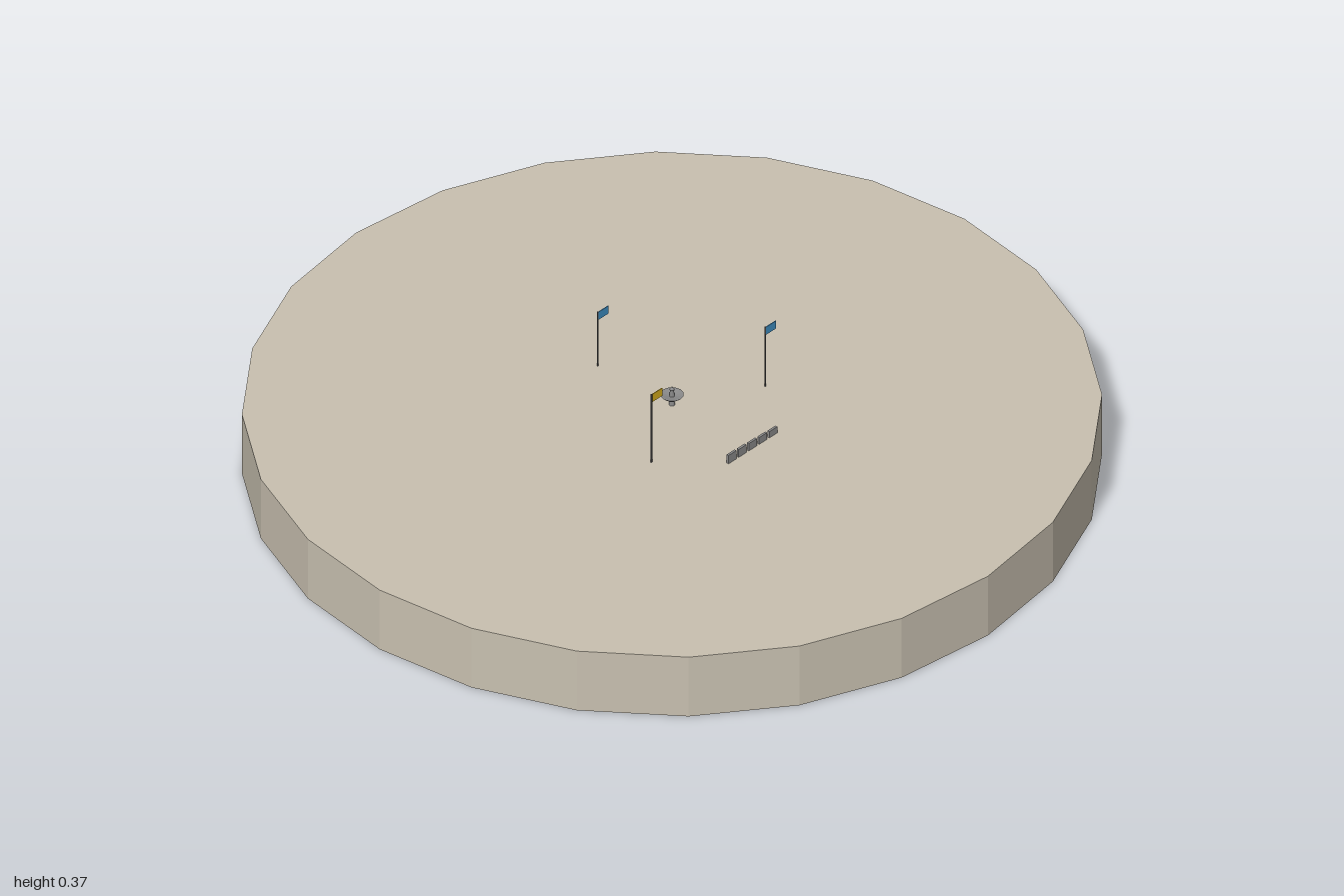
import * as THREE from 'three';

const GROUND = 0.17;

function mat(color, options = {}) {
  return new THREE.MeshStandardMaterial({ color, side: THREE.DoubleSide, ...options });
}

function addMesh(parent, name, geometry, material, x = 0, y = 0, z = 0) {
  const mesh = new THREE.Mesh(geometry, material);
  mesh.name = name;
  mesh.position.set(x, y, z);
  parent.add(mesh);
  return mesh;
}

export function createModel() {
  const model = new THREE.Group();
  model.name = 'plaza';
  const paving = mat(0xc8c0b0, { flatShading: true });
  const stone = mat(0x8a8a8a, { flatShading: true });
  const dark = mat(0x555555);

  // Hollow 24-sided platform, open underneath
  addMesh(model, 'platformWall', new THREE.CylinderGeometry(1, 1, GROUND, 24, 1, true), paving, 0, GROUND / 2, 0);
  const top = addMesh(model, 'platformTop', new THREE.CircleGeometry(1, 24), paving, 0, GROUND, 0);
  top.rotation.set(-Math.PI / 2, 0, Math.PI / 2);
  const lawn = addMesh(model, 'lawnUnderside', new THREE.CircleGeometry(0.998, 24), mat(0x3a4f26), 0, GROUND - 0.003, 0);
  lawn.rotation.set(-Math.PI / 2, 0, Math.PI / 2);

  // Sunken basin below the fountain
  const fountain = new THREE.Group();
  fountain.name = 'fountain';
  model.add(fountain);
  addMesh(fountain, 'basinWall', new THREE.CylinderGeometry(0.11, 0.11, 0.016, 24, 1, true), mat(0xcccccc), 0, 0.157, 0);
  addMesh(fountain, 'basinFloor', new THREE.CylinderGeometry(0.108, 0.108, 0.004, 24), stone, 0, 0.156, 0);
  addMesh(fountain, 'water', new THREE.CylinderGeometry(0.107, 0.107, 0.003, 24), mat(0x4a90b8), 0, 0.161, 0);

  // Stem, dish and spire turned as one profile
  const profile = [
    [0, 0.155], [0.008, 0.155], [0.006, 0.185], [0.018, 0.19], [0.028, 0.199],
    [0.024, 0.199], [0.006, 0.195], [0.005, 0.21], [0.006, 0.214], [0, 0.222],
  ].map(([r, y]) => new THREE.Vector2(r, y));
  addMesh(fountain, 'stemAndDish', new THREE.LatheGeometry(profile, 12), stone);

  // Row of five low blocks in front
  const row = new THREE.Group();
  row.name = 'blockRow';
  model.add(row);
  for (let i = 0; i < 5; i++) {
    const height = 0.036 - i * 0.0015;
    addMesh(row, 'block', new THREE.BoxGeometry(0.027, height, 0.006), stone, (i - 2) * 0.035, 0.158 + height / 2, 0.253);
  }

  // Flags on thin poles: x, z, top height, colour
  const flags = [
    [-0.2, 0.12, 0.365, 0xd9b01c],
    [0.2, 0.11, 0.34, 0x3f8fc4],
    [-0.005, -0.23, 0.325, 0x3f8fc4],
  ];
  for (const [x, z, height, color] of flags) {
    const flag = new THREE.Group();
    flag.name = 'flag';
    flag.position.set(x, 0, z);
    model.add(flag);
    const length = height - GROUND;
    addMesh(flag, 'pole', new THREE.CylinderGeometry(0.002, 0.002, length, 6), dark, 0, GROUND + length / 2, 0);
    addMesh(flag, 'banner', new THREE.BoxGeometry(0.035, 0.022, 0.002), mat(color), 0.0185, height - 0.012, 0);
  }
  return model;
}
